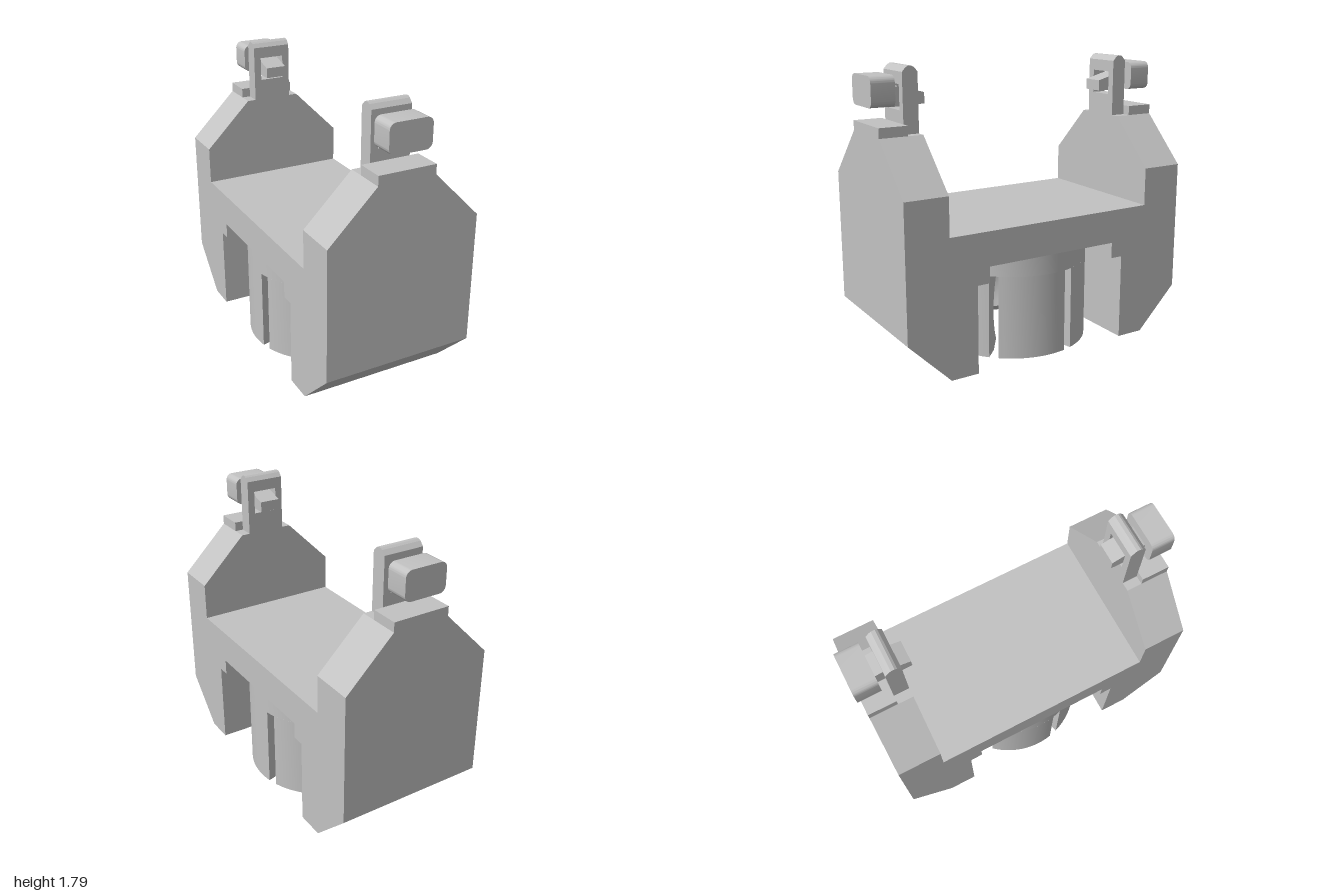
import * as THREE from 'three';
import { toCreasedNormals } from 'three/addons/utils/BufferGeometryUtils.js';

const grey = new THREE.MeshStandardMaterial({ color: 0xc2c2c2, side: THREE.DoubleSide });
grey.name = 'plain grey';

const shapeOf = (pts) => new THREE.Shape(pts.map(([x, y]) => new THREE.Vector2(x, y)));

function part(name, geometry, parent) {
  const mesh = new THREE.Mesh(geometry, grey);
  mesh.name = name;
  parent.add(mesh);
  return mesh;
}

// Outline in x,y extruded from z0 to z1
function frontExtrude(shape, z0, z1) {
  const g = new THREE.ExtrudeGeometry(shape, { depth: z1 - z0, bevelEnabled: false, curveSegments: 8 });
  return g.translate(0, 0, z0);
}

// Outline in z,y extruded along x, centred
function sideExtrude(pts, width) {
  return frontExtrude(shapeOf(pts), -width / 2, width / 2).rotateY(-Math.PI / 2);
}

function roundedRect(x0, y0, x1, y1, r) {
  const s = new THREE.Shape();
  s.moveTo(x0 + r, y0);
  s.lineTo(x1 - r, y0);
  s.absarc(x1 - r, y0 + r, r, -Math.PI / 2, 0);
  s.absarc(x1 - r, y1 - r, r, 0, Math.PI / 2);
  s.absarc(x0 + r, y1 - r, r, Math.PI / 2, Math.PI);
  s.absarc(x0 + r, y0 + r, r, Math.PI, Math.PI * 1.5);
  return s;
}

// Upright end wall with its clip; the other end is the same turned half round
function makeEnd() {
  const end = new THREE.Group();
  part('endWall', frontExtrude(shapeOf([
    [-0.483, 0.865], [0.483, 0.865], [0.483, 1.105], [0.183, 1.405], [-0.183, 1.405], [-0.483, 1.105],
  ]), 0.708, 0.983), end);
  part('topLedge', new THREE.BoxGeometry(0.366, 0.06, 0.178).translate(0, 1.435, 0.894), end);

  // Tab with a window, topped by a bevelled crest
  const tab = shapeOf([[-0.127, 1.405], [0.127, 1.405], [0.127, 1.762], [-0.127, 1.762]]);
  tab.holes.push(new THREE.Path([[-0.08, 1.54], [-0.08, 1.69], [0.08, 1.69], [0.08, 1.54]]
    .map(([x, y]) => new THREE.Vector2(x, y))));
  part('clipTab', frontExtrude(tab, 0.708, 0.805), end);
  part('tabCrest', sideExtrude([
    [0.708, 1.762], [0.805, 1.762], [0.782, 1.787], [0.768, 1.795], [0.745, 1.795], [0.731, 1.787],
  ], 0.254), end);

  // Latch through the window and its push button
  part('latch', sideExtrude([
    [0.64, 1.567], [0.86, 1.567], [0.86, 1.668], [0.805, 1.678], [0.64, 1.634],
  ], 0.135), end);
  const button = frontExtrude(roundedRect(-0.135, 1.567, 0.135, 1.747, 0.04), 0.853, 1);
  part('button', toCreasedNormals(button, 0.6), end);
  return end;
}

// Slotted ball socket under the deck
function makeSocket() {
  const socket = new THREE.Group();
  const R = 0.482, ball = 0.37, cy = 0.26, slotTop = 0.53, half = 0.03, step = Math.PI / 3;
  const arc = (a0, a1, n) => Array.from({ length: n + 1 }, (_, i) => {
    const a = a0 + (a1 - a0) * i / n;
    return [ball * Math.cos(a), cy + ball * Math.sin(a)];
  });
  const rimAngle = Math.asin((slotTop - cy) / ball);
  const lathe = (pts, segs, length) => new THREE.LatheGeometry(
    pts.map(([r, y]) => new THREE.Vector2(Math.max(r, 0), y)), segs, 0, length);

  // Closed upper collar with the dome of the ball cup
  const collar = lathe([...arc(Math.PI / 2, rimAngle, 8), [R, slotTop], [R, 0.66]], 72, Math.PI * 2);
  part('socketCollar', toCreasedNormals(collar, 0.5), socket);

  // Finger section: outer wall, ball cup, throat and flared mouth
  const section = [[R, 0], [R, slotTop], ...arc(rimAngle, -0.6, 16), [0.318, 0.045], [0.365, 0]];
  const finger = lathe([...section, section[0]], 12, step);
  const p = finger.attributes.position;
  for (let i = 0; i < p.count; i++) {
    // Narrow each finger so that the slots have parallel sides
    const r = Math.hypot(p.getX(i), p.getZ(i));
    const u = Math.atan2(p.getX(i), p.getZ(i)) / step * 2 - 1;
    const a = step / 2 + u * (step / 2 - Math.asin(half / r));
    p.setX(i, r * Math.sin(a));
    p.setZ(i, r * Math.cos(a));
  }
  const fingerGeo = toCreasedNormals(finger, 0.5);
  const cheek = new THREE.ShapeGeometry(shapeOf(
    section.map(([r, y]) => [Math.sqrt(r * r - half * half), y]))).translate(0, 0, -half);

  for (let k = 0; k < 6; k++) {
    const angle = Math.PI / 4 + k * step;
    part('socketFinger', fingerGeo, socket).rotation.y = angle;
    for (const side of [1, -1]) {
      const c = part('slotCheek', cheek, socket);
      c.rotation.y = angle - Math.PI / 2;
      c.scale.z = side;
    }
  }
  return socket;
}

export function createModel() {
  const model = new THREE.Group();
  model.name = 'cradleMount';

  // Cradle body: deck and legs, with a stepped recess for the socket
  const halfProfile = [[0.45, 0.652], [0.45, 0.55], [0.53, 0.55], [0.53, 0], [0.71, 0], [0.983, 0.273], [0.983, 0.865]];
  const mirrored = halfProfile.map(([z, y]) => [-z, y]).reverse();
  part('cradleBody', sideExtrude([...halfProfile, ...mirrored], 0.966), model);

  const front = makeEnd();
  front.name = 'frontEnd';
  const back = makeEnd();
  back.name = 'backEnd';
  back.rotation.y = Math.PI;

  const socket = makeSocket();
  socket.name = 'ballSocket';
  model.add(front, back, socket);
  return model;
}
